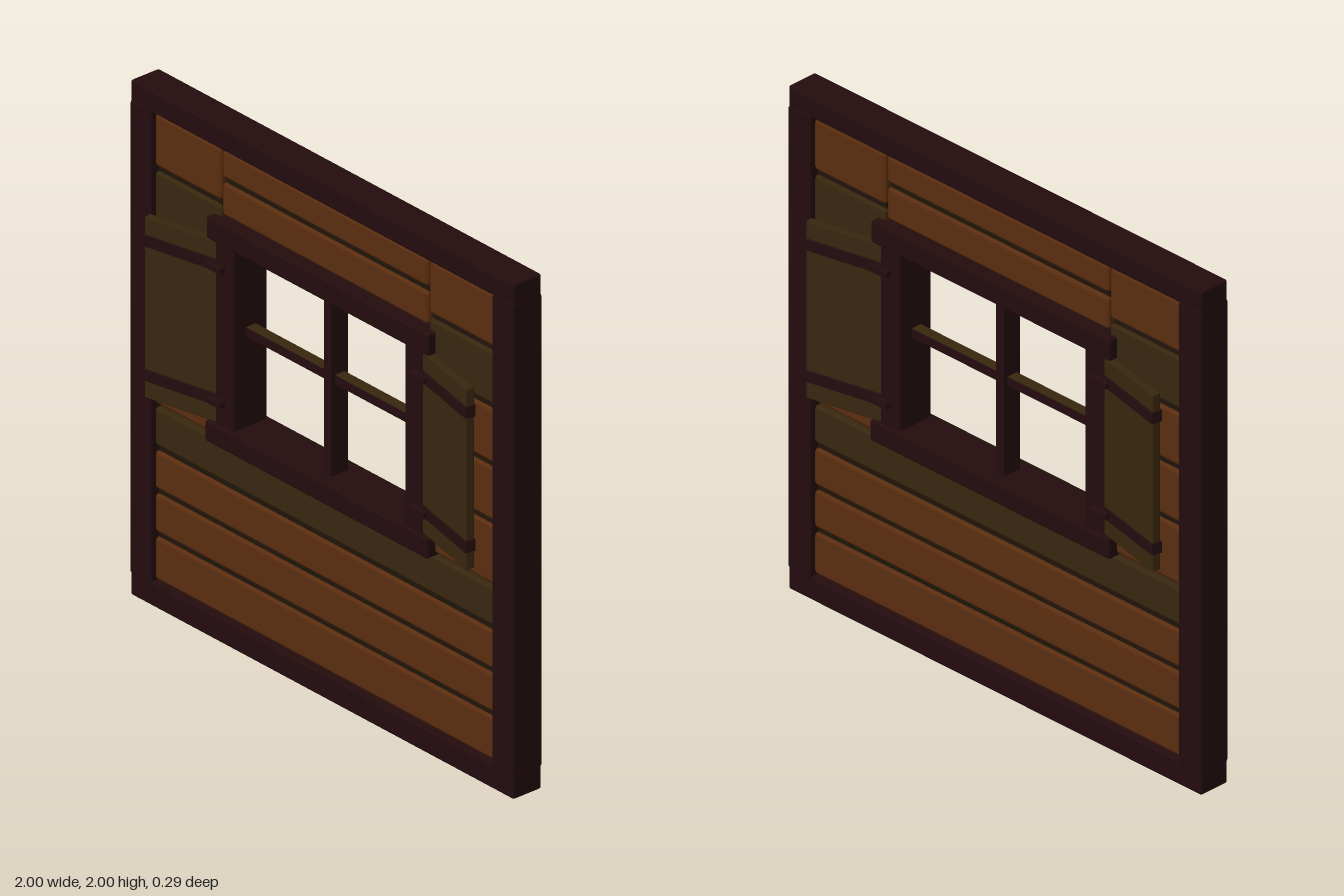
import * as THREE from 'three';
import { RoundedBoxGeometry } from 'three/addons/geometries/RoundedBoxGeometry.js';

function material(name, color) {
  const m = new THREE.MeshStandardMaterial({ color });
  m.name = name;
  return m;
}

export function createModel() {
  const model = new THREE.Group();
  model.name = 'windowWall';
  const beam = material('dark beam', 0x240c0e);
  const wood = material('orange plank', 0x5a2d0f);
  const olive = material('olive plank', 0x38270f);
  const seam = material('seam', 0x1f140a);

  // Bevelled block given by its x and y limits and half depth
  function block(name, mat, x0, x1, y0, y1, halfZ, bevel = 0.008, parent = model) {
    const geo = new RoundedBoxGeometry(x1 - x0, y1 - y0, halfZ * 2, 1, bevel);
    const mesh = new THREE.Mesh(geo, mat);
    mesh.position.set((x0 + x1) / 2, (y0 + y1) / 2, 0);
    mesh.name = name;
    parent.add(mesh);
    return mesh;
  }

  // Stack of planks between the listed heights, with recessed dark seams
  function planks(name, x0, x1, heights, colours) {
    const gap = 0.01;
    const last = heights.length - 1;
    colours.forEach((mat, i) => {
      const y0 = heights[i] + (i > 0 ? gap : 0);
      const y1 = heights[i + 1] - (i + 1 < last ? gap : 0);
      block(name, mat, x0, x1, y0, y1, 0.052, 0.014);
      if (i > 0) block(name + 'Seam', seam, x0 + 0.008, x1 - 0.008, heights[i] - 0.022, heights[i] + 0.022, 0.038, 0.002);
    });
  }

  // Outer frame
  block('bottomBeam', beam, -1, 1, 0, 0.092, 0.064);
  block('topBeam', beam, -1, 1, 1.915, 2, 0.064);
  for (const s of [-1, 1]) {
    block('sidePost', beam, s * 0.945 - 0.055, s * 0.945 + 0.055, 0.085, 1.922, 0.067);
  }

  // Wall planks below, above and beside the window
  planks('lowerPlank', -0.89, 0.89, [0.1, 0.275, 0.443, 0.61, 0.77], [wood, wood, wood, olive]);
  planks('upperPlank', -0.538, 0.538, [1.653, 1.79, 1.908], [wood, wood]);
  const sideHeights = [0.783, 1.02, 1.243, 1.47, 1.695, 1.908];
  const sideColours = [wood, wood, wood, olive, wood];
  planks('leftPlank', 0.542, 0.89, sideHeights, sideColours);
  planks('rightPlank', -0.89, -0.542, sideHeights, sideColours);

  // Window frame
  block('windowHeader', beam, -0.58, 0.58, 1.56, 1.645, 0.087);
  block('windowSill', beam, -0.58, 0.58, 0.775, 0.855, 0.092);
  for (const s of [-1, 1]) {
    block('windowPost', beam, s * 0.495 - 0.048, s * 0.495 + 0.048, 0.85, 1.565, 0.077);
  }

  // Glazing bars; the crossbar has an olive top
  block('verticalBar', beam, -0.02, 0.02, 0.85, 1.565, 0.04, 0.004);
  const cross = new THREE.Mesh(
    new THREE.BoxGeometry(0.89, 0.036, 0.044),
    [beam, beam, olive, beam, beam, beam]
  );
  cross.name = 'crossbar';
  cross.position.y = 1.227;
  model.add(cross);

  // Opened shutters with hinge straps, on both faces of the wall
  for (const sx of [-1, 1]) {
    for (const sz of [-1, 1]) {
      const shutter = new THREE.Group();
      shutter.name = 'shutter';
      shutter.position.set(sx * 0.54, 0, sz * 0.058);
      shutter.rotation.y = -sx * sz * 0.215;
      const span = (a, b) => (sx > 0 ? [a, b] : [-b, -a]);
      block('shutterPanel', olive, ...span(0, 0.31), 0.855, 1.557, 0.016, 0.004, shutter);
      for (const y of [0.945, 1.467]) {
        block('hingeStrap', beam, ...span(0, 0.314), y - 0.023, y + 0.023, 0.021, 0.003, shutter);
        // Hinge plate on the window post
        const plate = block('hingePlate', beam, ...span(0.49, 0.575), y - 0.012, y + 0.012, 0.016, 0.003);
        plate.position.z = sz * 0.086;
      }
      model.add(shutter);
    }
  }
  return model;
}
